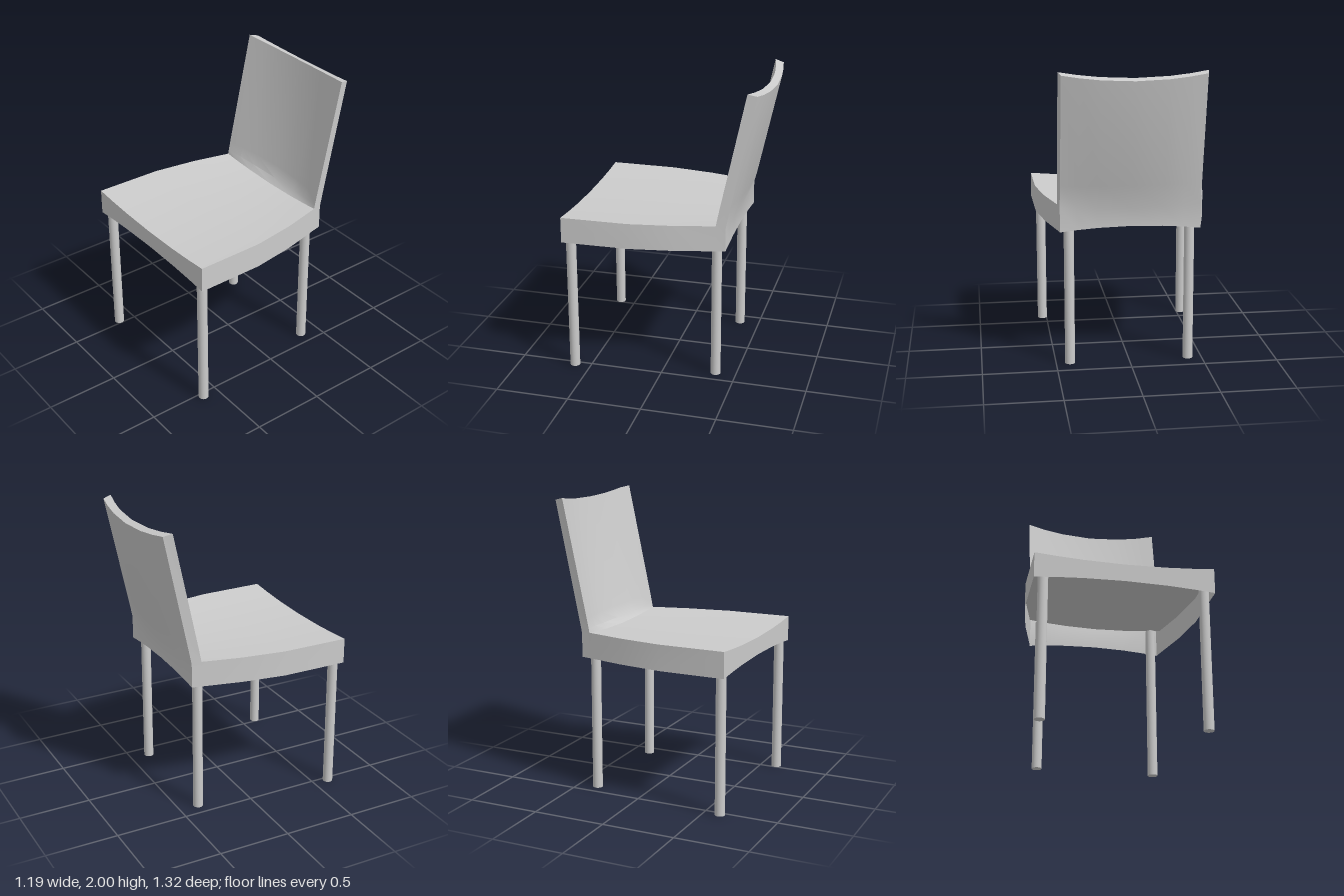
import * as THREE from 'three';
import { toCreasedNormals } from 'three/addons/utils/BufferGeometryUtils.js';

// Side profile of the shell: [z, y, half width, z shift at centre, y shift at centre]
const PROFILE = [
  // lower rim, front to back (the underside is open)
  [0.657, 0.935, 0.595, 0, 0.028],
  [0.2, 0.935, 0.59, 0, 0.028],
  [-0.1, 0.935, 0.545, 0, 0.028],
  [-0.37, 0.935, 0.481, 0, 0.028],
  [-0.43, 0.935, 0.468, 0, 0.028],
  // rear face, going up
  [-0.43, 1.1, 0.468, -0.005, -0.015],
  [-0.461, 1.25, 0.467, -0.042, 0],
  [-0.616, 1.985, 0.465, -0.043, -0.037],
  // front of the backrest, going down into a soft bend
  [-0.556, 2.0, 0.481, -0.056, -0.037],
  [-0.384, 1.2, 0.481, -0.055, 0],
  [-0.372, 1.14, 0.481, -0.036, -0.02],
  [-0.366, 1.11, 0.481, -0.006, -0.028],
  // seat top, back to front
  [-0.1, 1.11, 0.545, 0, -0.028],
  [0.2, 1.11, 0.59, 0, -0.028],
  [0.657, 1.11, 0.595, 0, -0.028],
];
const RIM_END = 4;
const COLUMNS = [-1, -0.75, -0.46, 0, 0.46, 0.75, 1];

// Profile points facing each other across the side: RIM[k] to k
const ACROSS = [14, 13, 12, 11, 11, 11, 9, 8];

// Sweep the profile across the width, dished towards the centre
function shellGeometry() {
  const n = PROFILE.length;
  const position = [];
  const index = [];
  for (const u of COLUMNS) {
    const dish = 1 - u * u;
    for (const [z, y, w, dz, dy] of PROFILE) position.push(u * w, y + dy * dish, z + dz * dish);
  }
  for (let i = 0; i < COLUMNS.length - 1; i++) {
    for (let j = RIM_END; j < n; j++) {
      const a = i * n + j;
      const b = i * n + (j + 1) % n;
      index.push(a, b, b + n, a, b + n, a + n);
    }
  }

  // side faces, as strips between facing profile points
  const last = (COLUMNS.length - 1) * n;
  const sideTriangle = (a, b, c) => index.push(last + a, last + b, last + c, a, c, b);
  for (let k = 0; k < ACROSS.length - 1; k++) {
    const from = ACROSS[k];
    const to = ACROSS[k + 1];
    sideTriangle(k, k + 1, from);
    for (let m = from; m > to; m--) sideTriangle(k + 1, m - 1, m);
  }

  const geometry = new THREE.BufferGeometry();
  geometry.setAttribute('position', new THREE.Float32BufferAttribute(position, 3));
  geometry.setIndex(index);
  return toCreasedNormals(geometry, 0.4);
}

export function createModel() {
  const chair = new THREE.Group();
  chair.name = 'chair';

  // Hollow seat with its skirt, and the backrest
  const shellMaterial = new THREE.MeshStandardMaterial({ color: 0xcccccc, side: THREE.DoubleSide });
  const shell = new THREE.Mesh(shellGeometry(), shellMaterial);
  shell.name = 'seatAndBackrest';
  chair.add(shell);

  // Four round legs, reaching up inside the skirt to the seat
  const legMaterial = new THREE.MeshStandardMaterial({ color: 0xcccccc });
  const legHeight = 1.09;
  const legGeometry = new THREE.CylinderGeometry(0.034, 0.034, legHeight, 20);
  for (const [name, x, z] of [['front', 0.53, 0.612], ['back', 0.405, -0.36]]) {
    for (const side of [-1, 1]) {
      const leg = new THREE.Mesh(legGeometry, legMaterial);
      leg.name = name + (side > 0 ? 'LeftLeg' : 'RightLeg');
      leg.position.set(side * x, legHeight / 2, z);
      chair.add(leg);
    }
  }
  return chair;
}
